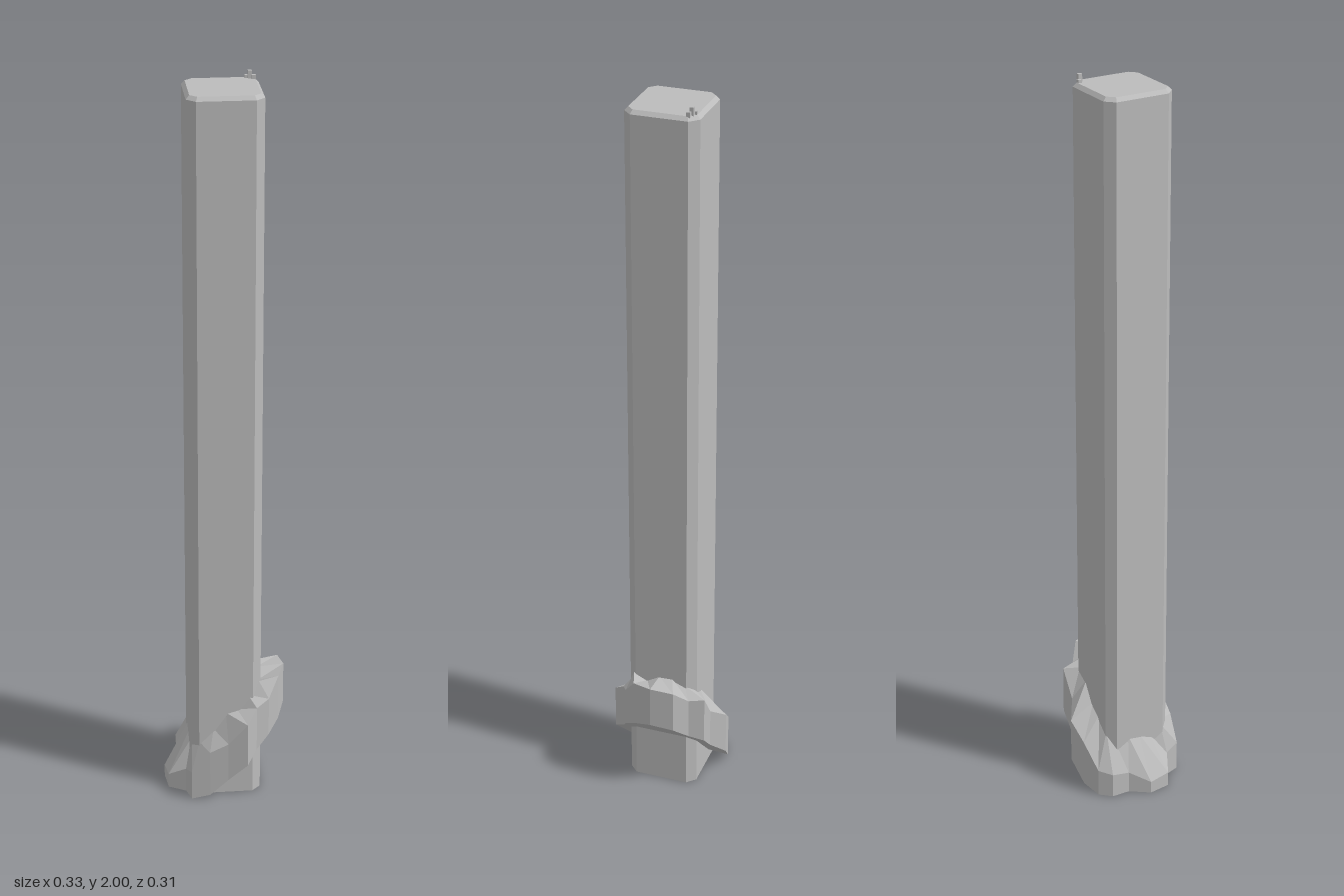
import * as THREE from 'three';

// Skin closed rings of [x, y, z] points, with optional end caps, as flat facets
function loft(rings, caps) {
  const pos = [];
  const tri = (...p) => p.forEach((v) => pos.push(...v));
  const n = rings[0].length;
  for (let r = 0; r < rings.length - 1; r++) {
    for (let i = 0; i < n; i++) {
      const j = (i + 1) % n;
      const a = rings[r][i], b = rings[r][j], c = rings[r + 1][j], d = rings[r + 1][i];
      tri(a, d, c);
      tri(a, c, b);
    }
  }
  if (caps) {
    const lo = rings[0], hi = rings[rings.length - 1];
    for (let i = 1; i < n - 1; i++) {
      tri(lo[0], lo[i], lo[i + 1]);
      tri(hi[0], hi[i + 1], hi[i]);
    }
  }
  const g = new THREE.BufferGeometry();
  g.setAttribute('position', new THREE.Float32BufferAttribute(pos, 3));
  g.computeVertexNormals();
  return g;
}

const CX = -0.003, CZ = 0.004;

// Square with cut corners at height y
function chamferedSquare(h, cut, y) {
  const k = h - cut;
  return [[h, -k], [h, k], [k, h], [-k, h], [-h, k], [-h, -k], [-k, -h], [k, -h]]
    .map(([x, z]) => [x + CX, y, z + CZ]);
}

export function createModel() {
  const group = new THREE.Group();
  const stone = new THREE.MeshStandardMaterial({ color: 0xbcbcbc, flatShading: true });
  stone.name = 'grey stone';
  const add = (name, geometry) => {
    const mesh = new THREE.Mesh(geometry, stone);
    mesh.name = name;
    group.add(mesh);
    return mesh;
  };

  // Tall pillar with chamfered corners and a bevelled top
  add('pillar', loft([
    chamferedSquare(0.097, 0.023, 0),
    chamferedSquare(0.097, 0.023, 1.97),
    chamferedSquare(0.088, 0.018, 1.98),
  ], true));

  // Sloping rough collar around the foot
  const outline = [
    [0.165, 0.01], [0.145, 0.065], [0.115, 0.1], [0.08, 0.12], [0.052, 0.155],
    [0, 0.142], [-0.05, 0.135], [-0.1, 0.126], [-0.113, 0.085], [-0.16, 0.06],
    [-0.167, 0], [-0.13, -0.05], [-0.128, -0.1], [-0.1, -0.13], [-0.05, -0.147],
    [0.003, -0.157], [0.05, -0.126], [0.1, -0.125], [0.117, -0.085], [0.155, -0.053],
  ];
  const inner = ([x, z]) => {
    const s = 0.092 / Math.max(Math.abs(x), Math.abs(z));
    return [x * s + CX, z * s + CZ];
  };
  const bottomY = (x) => Math.max(0, x + 0.065);
  const rough = (i) => 0.012 * Math.sin(i * 2.3);
  const ring = (place, height) => outline.map((p, i) => {
    const [x, z] = place(p);
    return [x, height(x, i), z];
  });
  const outer = (p) => p;
  add('collar', loft([
    ring(inner, bottomY),
    ring(outer, bottomY),
    ring(outer, (x, i) => Math.min(0.35, Math.max(0.035, x + 0.19 + rough(i)))),
    ring(inner, (x, i) => Math.min(0.348, x + 0.245 + rough(i + 1))),
  ], false));

  // Tiny chips on one top corner
  const chips = new THREE.Group();
  chips.name = 'topChips';
  [[0.064, -0.078, 0.012], [0.072, -0.073, 0.024], [0.081, -0.067, 0.014]].forEach(([x, z, h]) => {
    const chip = new THREE.Mesh(new THREE.BoxGeometry(0.01, h, 0.01), stone);
    chip.name = 'chip';
    chip.position.set(x, 1.976 + h / 2, z);
    chips.add(chip);
  });
  group.add(chips);

  return group;
}
